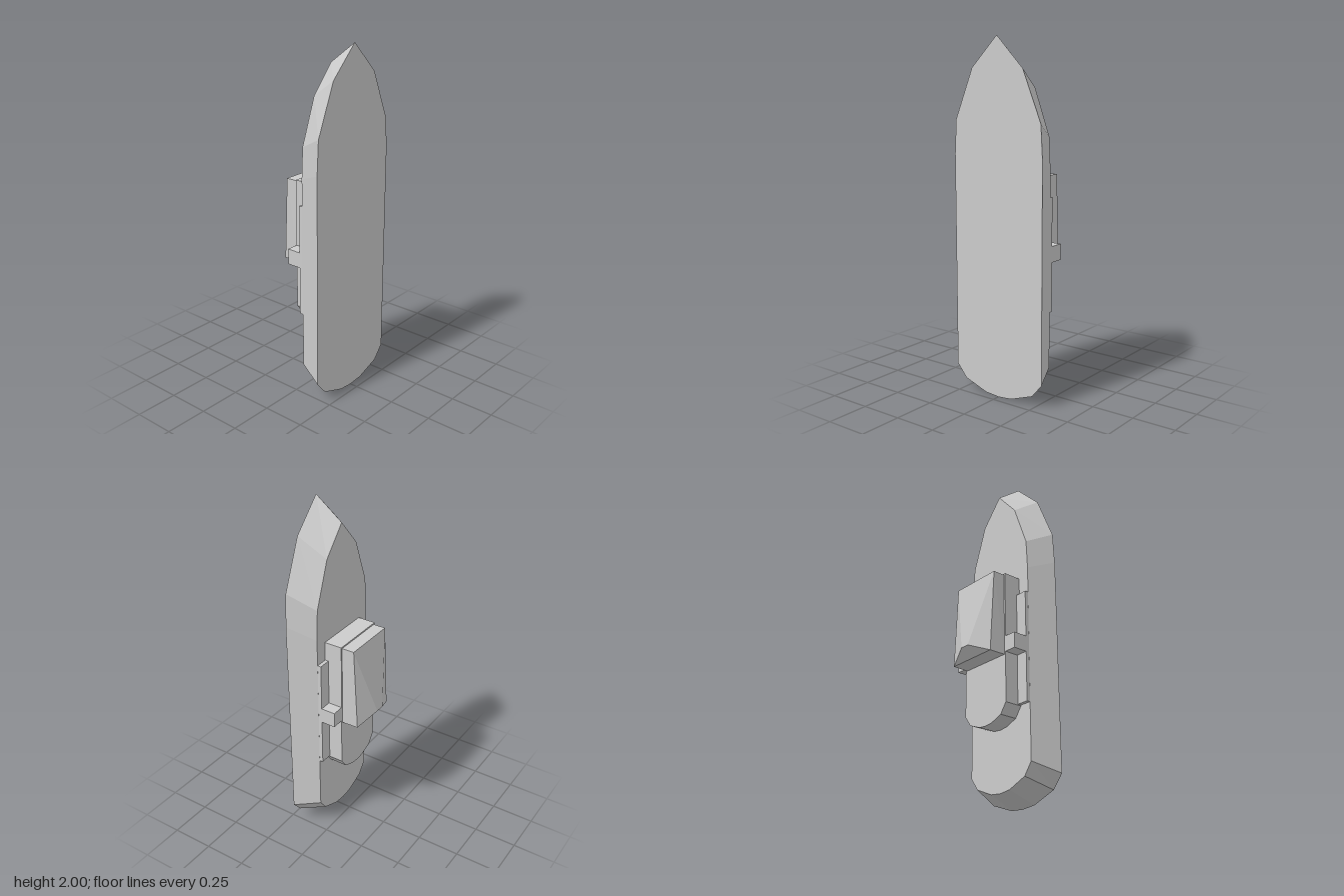
import * as THREE from 'three';

const grey = new THREE.MeshStandardMaterial({ color: 0xcccccc, flatShading: true });

// Complete the right half of an outline (listed bottom to top) to a closed counter-clockwise loop
function mirrorOutline(half) {
  const left = half.filter(([x]) => x > 0).reverse().map(([x, y]) => [-x, y]);
  return [...half, ...left];
}

// Solid between two matching loops of [x, y, z] corners, counter-clockwise seen from +z
function loft(name, back, front) {
  const pos = [];
  const tri = (a, b, c) => pos.push(...a, ...b, ...c);
  const n = back.length;
  for (let i = 0; i < n; i++) {
    const j = (i + 1) % n;
    tri(back[i], back[j], front[j]);
    tri(back[i], front[j], front[i]);
  }
  const flat = front.map(([x, y]) => new THREE.Vector2(x, y));
  for (const [a, b, c] of THREE.ShapeUtils.triangulateShape(flat, [])) {
    tri(front[a], front[b], front[c]);
    tri(back[c], back[b], back[a]);
  }
  return solid(name, pos);
}

function solid(name, pos) {
  const geo = new THREE.BufferGeometry();
  geo.setAttribute('position', new THREE.Float32BufferAttribute(pos, 3));
  geo.computeVertexNormals();
  const mesh = new THREE.Mesh(geo, grey);
  mesh.name = name;
  return mesh;
}

function box(name, [x0, x1], [y0, y1], [z0, z1]) {
  const mesh = new THREE.Mesh(new THREE.BoxGeometry(x1 - x0, y1 - y0, z1 - z0), grey);
  mesh.position.set((x0 + x1) / 2, (y0 + y1) / 2, (z0 + z1) / 2);
  mesh.name = name;
  return mesh;
}

export function createModel() {
  const model = new THREE.Group();
  model.name = 'boat';

  // Hull: pointed bow up, rounded stern down, narrowing toward the back
  const hull = mirrorOutline([
    [0, 0], [0.09, 0.008], [0.235, 0.06], [0.298, 0.135], [0.298, 1.36],
    [0.287, 1.55], [0.17, 1.83], [0, 2],
  ]);
  model.add(loft('hull',
    hull.map(([x, y]) => [x * 0.8, 0.06 + 0.91 * y, 0.047]),
    hull.map(([x, y]) => [x, y, 0.204])));

  // Lower deckhouse with a rounded stern end
  const house = mirrorOutline([
    [0, 0.403], [0.05, 0.408], [0.125, 0.437], [0.167, 0.495], [0.167, 1.253], [0, 1.253],
  ]);
  model.add(loft('deckhouse',
    house.map(([x, y]) => [x, y, -0.058]),
    house.map(([x, y]) => [x, y, 0.047])));

  // Side ledges and the taller blocks crossing them
  for (const s of [-1, 1]) {
    const xs = s > 0 ? [0.167, 0.238] : [-0.238, -0.167];
    model.add(box('sideLedge', xs, [0.5, 1.143], [0.026, 0.047]));
    model.add(box('sideBlock', xs, [0.78, 0.87], [-0.058, 0.047]));
  }

  // Upper cabin, deeper toward its lower end
  const w = 0.158, v = 0.155, top = 1.245, low = 0.765;
  const rear = [[-v, low, -0.155], [v, low, -0.155], [w, top, -0.131], [-w, top, -0.131]];
  const base = [[-w, low, -0.058], [w, low, -0.058], [w, top, -0.058], [-w, top, -0.058]];
  model.add(loft('upperCabin', rear, base));

  // Faceted roof rising to a short ridge
  const [bl, br, tr, tl] = rear;
  const pl = [-0.026, 0.822, -0.205], pr = [0.026, 0.822, -0.205];
  const faces = [
    [tl, tr, pr], [tl, pr, pl],
    [tr, br, pr], [bl, tl, pl],
    [br, bl, pl], [br, pl, pr],
  ];
  model.add(solid('roof', faces.flat(2)));

  return model;
}
